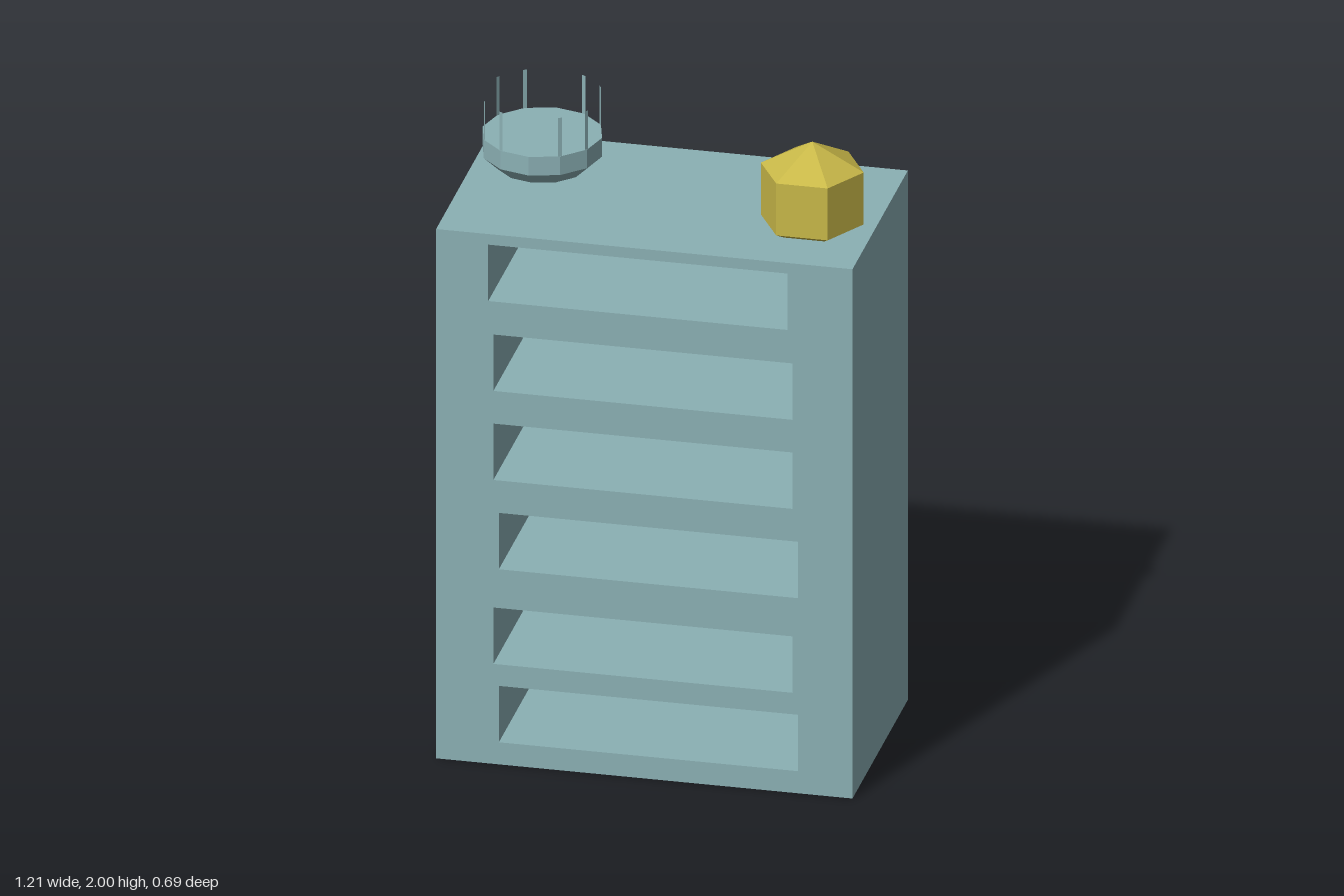
import * as THREE from 'three';

const teal = new THREE.MeshStandardMaterial({ color: 0x8bb0b4, flatShading: true });
const tealThin = new THREE.MeshStandardMaterial({ color: 0x8bb0b4, flatShading: true, side: THREE.DoubleSide });
const gold = new THREE.MeshStandardMaterial({ color: 0xc8b848, flatShading: true });

function add(parent, name, geometry, material, x = 0, y = 0, z = 0) {
  const mesh = new THREE.Mesh(geometry, material);
  mesh.name = name;
  mesh.position.set(x, y, z);
  parent.add(mesh);
  return mesh;
}

// Faceted solid of revolution from [radius, y] pairs, bottom to top
function faceted(profile, sides) {
  const points = profile.map(([r, y]) => new THREE.Vector2(r, y));
  return new THREE.LatheGeometry(points, sides, Math.PI / 2).toNonIndexed();
}

function rectangle(path, x0, y0, x1, y1) {
  path.moveTo(x0, y0);
  path.lineTo(x1, y0);
  path.lineTo(x1, y1);
  path.lineTo(x0, y1);
  path.closePath();
  return path;
}

export function createModel() {
  const model = new THREE.Group();
  model.name = 'shelfWithOrnaments';

  // Block pierced by six slots that run right through it
  const width = 1.214, height = 1.652, depth = 0.694;
  const slotWidth = 0.872, slotHeight = 0.176;
  const slots = [ // left edge, bottom edge
    [-0.424, 0.069], [-0.44, 0.312], [-0.424, 0.609],
    [-0.44, 0.886], [-0.44, 1.164], [-0.455, 1.443],
  ];
  const outline = rectangle(new THREE.Shape(), -width / 2, 0, width / 2, height);
  for (const [x, y] of slots) {
    outline.holes.push(rectangle(new THREE.Path(), x, y, x + slotWidth, y + slotHeight));
  }
  const block = new THREE.ExtrudeGeometry(outline, { depth, bevelEnabled: false });
  add(model, 'shelfBlock', block, teal, 0, 0, -depth / 2);

  // Six-sided gem, its lower point sunk into the block
  const gem = faceted([[0, -0.162], [0.15, -0.081], [0.15, 0.081], [0, 0.162]], 6);
  add(model, 'gem', gem, gold, 0.427, 1.75, 0.077);

  // Shallow twelve-sided dish floating above the block
  const dish = new THREE.Group();
  dish.name = 'dish';
  dish.position.set(-0.35, 1.78, 0.12);
  model.add(dish);
  add(dish, 'dishBody', faceted([[0, 0], [0.13, 0], [0.174, 0.042], [0.174, 0.1], [0, 0.1]], 12), teal);

  // Eight thin uprights round the rim, none on the axes
  const strip = new THREE.PlaneGeometry(0.012, 0.12);
  for (let i = 0; i < 12; i++) {
    if (i % 3 === 0) continue;
    const a = (i * Math.PI) / 6;
    const upright = add(dish, 'upright', strip, tealThin, 0.172 * Math.sin(a), 0.16, 0.172 * Math.cos(a));
    upright.rotation.y = a;
  }

  return model;
}
